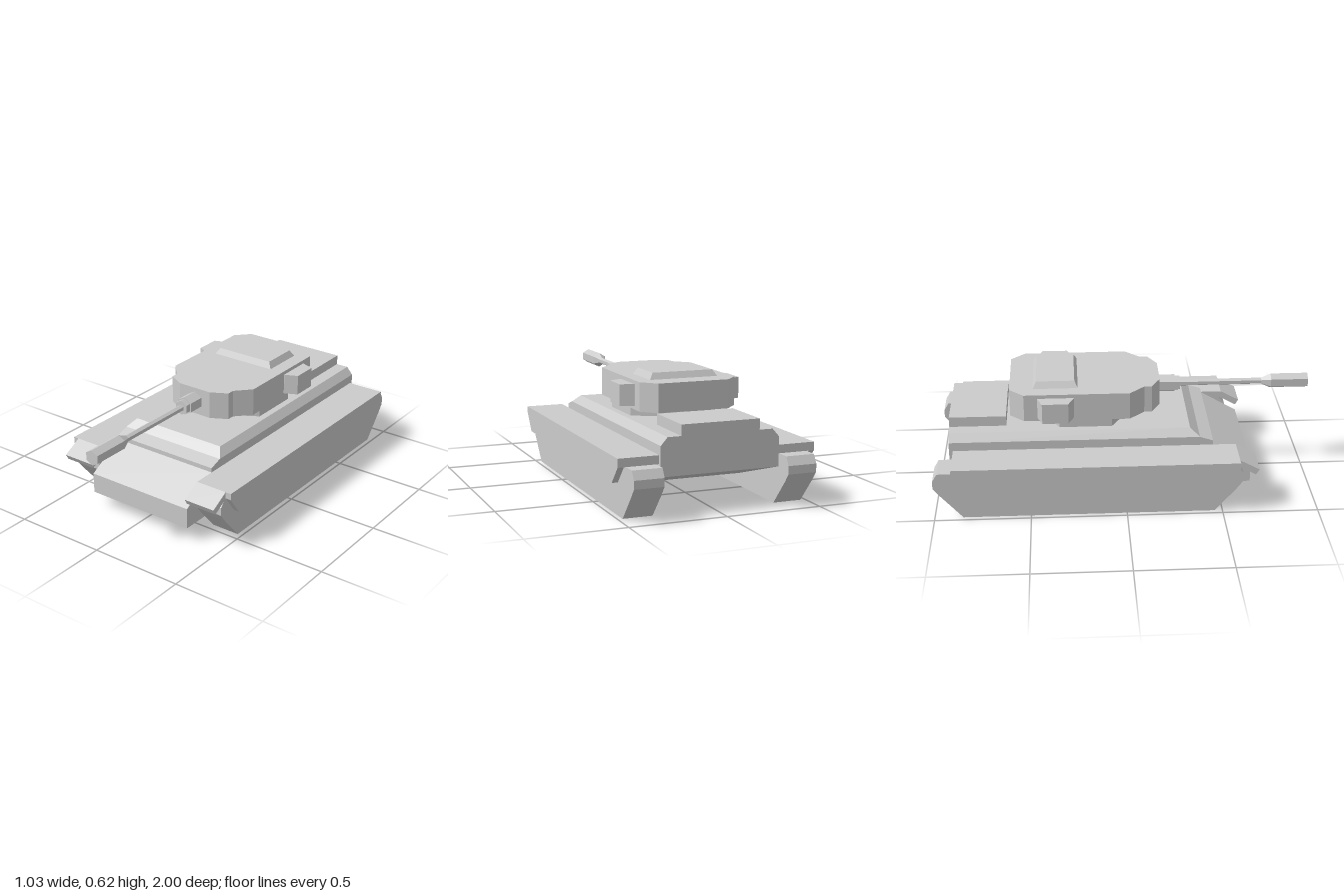
import * as THREE from 'three';

const material = new THREE.MeshStandardMaterial({ color: 0xcccccc, flatShading: true });

function add(parent, name, geometry) {
  const mesh = new THREE.Mesh(geometry, material);
  mesh.name = name;
  parent.add(mesh);
  return mesh;
}

function extrude(points, depth) {
  const shape = new THREE.Shape(points.map(([a, b]) => new THREE.Vector2(a, b)));
  return new THREE.ExtrudeGeometry(shape, { depth, bevelEnabled: false });
}

// Side profile of [z, y] points, swept across x0..x1
function sideProfile(points, x0, x1) {
  return extrude(points, x1 - x0).rotateY(-Math.PI / 2).translate(x1, 0, 0);
}

// Plan outline of [x, z] points, raised from y0 to y1
function planProfile(points, y0, y1) {
  return extrude(points.map(([x, z]) => [x, -z]), y1 - y0).rotateX(-Math.PI / 2).translate(0, y0, 0);
}

// Box whose top rectangle differs from its bottom one; each is [halfWidth, zBack, zFront, y]
function taperedBox(bottom, top) {
  const geometry = new THREE.BoxGeometry(2, 2, 2);
  const p = geometry.attributes.position;
  for (let i = 0; i < p.count; i++) {
    const [w, back, front, y] = p.getY(i) > 0 ? top : bottom;
    p.setXYZ(i, p.getX(i) * w, y, p.getZ(i) > 0 ? front : back);
  }
  geometry.computeVertexNormals();
  return geometry;
}

export function createModel() {
  const model = new THREE.Group();
  model.name = 'tank';

  // Hull with sloped nose and undercut tail
  const hull = new THREE.Group();
  hull.name = 'hull';
  model.add(hull);
  add(hull, 'hullBody', sideProfile([
    [0.665, 0.075], [0.665, 0.185], [0.46, 0.303], [0.46, 0.327], [0.39, 0.35],
    [-0.92, 0.35], [-0.92, 0.2], [-0.5, 0.075],
  ], -0.31, 0.31));
  add(hull, 'upperDeck', taperedBox([0.31, -0.92, 0.39, 0.35], [0.275, -0.92, 0.34, 0.39]));
  add(hull, 'engineCover', taperedBox([0.205, -0.92, -0.622, 0.39], [0.205, -0.92, -0.622, 0.445]));

  // Tracks, fenders, skirts and front mudguards on both sides
  for (const [side, s] of [['left', 1], ['right', -1]]) {
    const group = new THREE.Group();
    group.name = side + 'TrackAssembly';
    model.add(group);
    const part = (name, points, inner, outer) =>
      add(group, name, sideProfile(points, Math.min(s * inner, s * outer), Math.max(s * inner, s * outer)));
    part('track', [
      [0.46, 0], [0.57, 0.13], [0.603, 0.175], [0.603, 0.22], [0.57, 0.26],
      [-0.975, 0.26], [-1, 0.217], [-1, 0.175], [-0.965, 0.13], [-0.852, 0],
    ], 0.323, 0.475);
    part('fender', [[0.58, 0.268], [0.58, 0.303], [-0.9, 0.303], [-0.9, 0.26]], 0.31, 0.486);
    part('skirt', [
      [0.58, 0.303], [0.58, 0.268], [0.51, 0.17], [-0.82, 0.17], [-0.9, 0.26], [-0.9, 0.303],
    ], 0.486, 0.517);
    part('mudguard', [[0.58, 0.303], [0.682, 0.247], [0.665, 0.217], [0.58, 0.265]], 0.31, 0.486);
  }

  // Turret on a six-sided ring
  const turret = new THREE.Group();
  turret.name = 'turret';
  model.add(turret);
  add(turret, 'turretRing', new THREE.CylinderGeometry(0.275, 0.275, 0.055, 6).translate(0, 0.4175, -0.205));
  const half = [[0.19, -0.6], [0.26, -0.525], [0.26, 0.025], [0.185, 0.105], [0.185, 0.145], [0.098, 0.192]];
  const outline = [...half, ...half.map(([x, z]) => [-x, z]).reverse()];
  add(turret, 'turretBody', planProfile(outline, 0.442, 0.59));
  add(turret, 'roofHatch', taperedBox([0.185, -0.478, -0.243, 0.59], [0.164, -0.46, -0.26, 0.623]));
  for (const [side, s] of [['left', 1], ['right', -1]]) {
    add(turret, side + 'TurretBox', planProfile([
      [s * 0.25, -0.455], [s * 0.262, -0.455], [s * 0.33, -0.43],
      [s * 0.33, -0.295], [s * 0.262, -0.265], [s * 0.25, -0.265],
    ], 0.46, 0.57));
  }

  // Six-sided gun: mantlet, collar, barrel and muzzle, as [radius, z]
  const gun = new THREE.Group();
  gun.name = 'gun';
  gun.position.y = 0.518;
  model.add(gun);
  const turned = (name, profile) => add(gun, name, new THREE.LatheGeometry(
    profile.map(([r, z]) => new THREE.Vector2(r, z)), 6).rotateX(Math.PI / 2));
  turned('mantlet', [[0, 0.18], [0.05, 0.18], [0.05, 0.28], [0.041, 0.28], [0.041, 0.307], [0, 0.307]]);
  turned('barrel', [[0, 0.29], [0.018, 0.29], [0.018, 0.75], [0.041, 0.8], [0.041, 1], [0, 1]]);

  return model;
}
